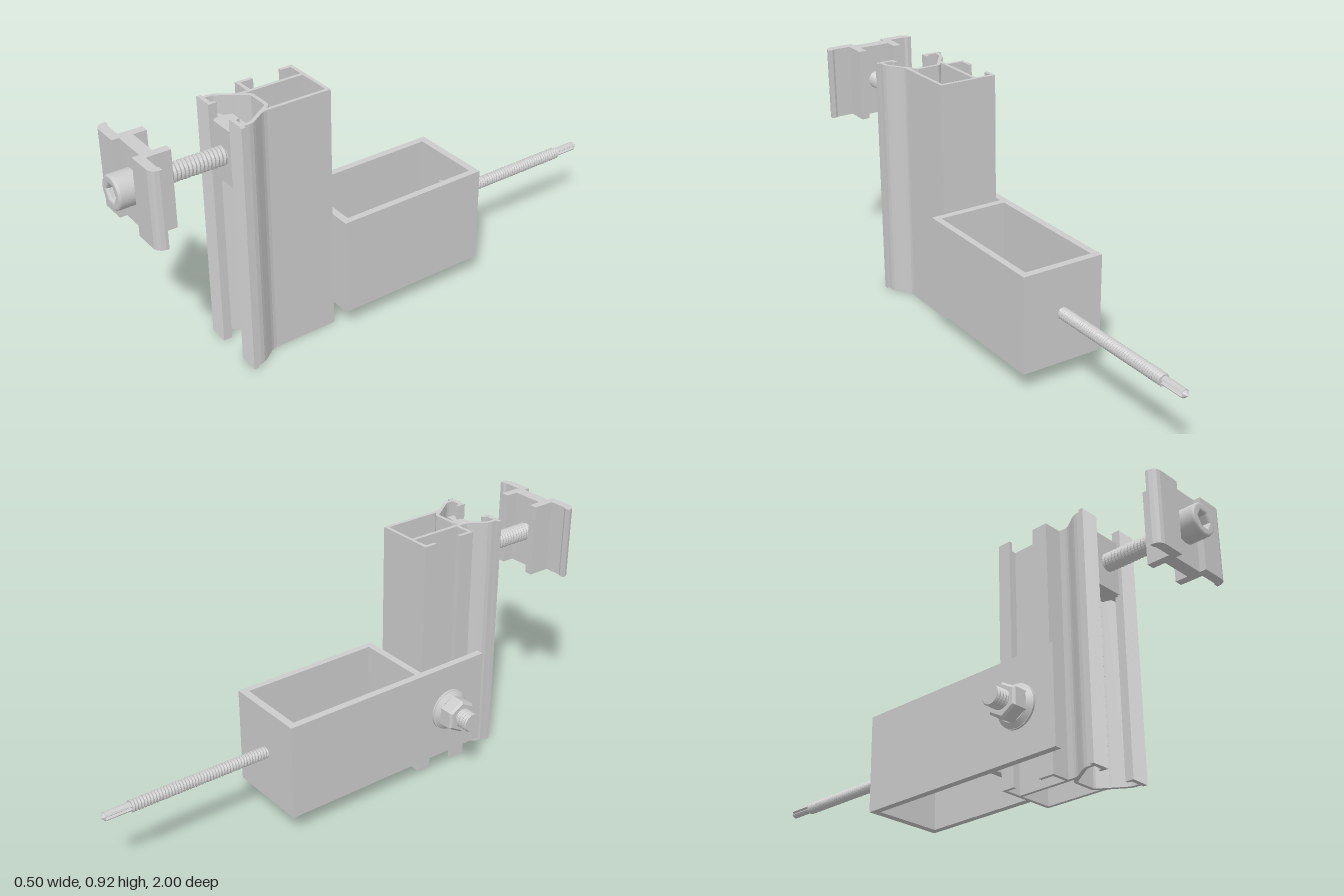
import * as THREE from 'three';

const metal = new THREE.MeshStandardMaterial({ color: 0xcccccc });
const faceted = new THREE.MeshStandardMaterial({ color: 0xcccccc, flatShading: true });

function add(parent, name, geo, mat = metal) {
  const m = new THREE.Mesh(geo, mat);
  m.name = name;
  parent.add(m);
  return m;
}

// Profile given as [x, z] points, extruded upwards from y0 to y1
const toPts = pts => pts.map(([x, z]) => new THREE.Vector2(x, -z));
function extrudeUp(pts, y0, y1, hole) {
  const shape = new THREE.Shape(toPts(pts));
  if (hole) shape.holes.push(new THREE.Path(toPts(hole)));
  const g = new THREE.ExtrudeGeometry(shape, { depth: y1 - y0, bevelEnabled: false });
  return g.rotateX(-Math.PI / 2).translate(0, y0, 0);
}

// Sheet of constant thickness along an open centre line, with mitred corners
function strip(line, t) {
  const p = line.map(a => new THREE.Vector2(...a));
  const a = [], b = [];
  p.forEach((q, i) => {
    const i0 = Math.max(i, 1), i1 = Math.min(i, p.length - 2);
    const d0 = p[i0].clone().sub(p[i0 - 1]).normalize();
    const d1 = p[i1 + 1].clone().sub(p[i1]).normalize();
    const n0 = new THREE.Vector2(-d0.y, d0.x), n1 = new THREE.Vector2(-d1.y, d1.x);
    const n = n0.clone().add(n1).normalize();
    n.multiplyScalar(t / 2 / n.dot(n0));
    a.push([q.x + n.x, q.y + n.y]);
    b.unshift([q.x - n.x, q.y - n.y]);
  });
  return a.concat(b);
}

// Rods run along +z ('z') or along -x ('x') from a start point
function aim(g, axis, len, [x, y, z]) {
  g.translate(0, len / 2, 0);
  if (axis === 'z') g.rotateX(Math.PI / 2); else g.rotateZ(Math.PI / 2);
  return g.translate(x, y, z);
}
function rod(axis, r0, r1, len, at, sides = 40, start = 0) {
  return aim(new THREE.CylinderGeometry(r1, r0, len, sides, 1, false, start), axis, len, at);
}

// Threaded rod: cylinder whose radius follows a helical triangle wave
function thread(axis, r, depth, pitch, len, at) {
  const g = new THREE.CylinderGeometry(r, r, len, 24, Math.round(len / pitch * 6));
  const p = g.attributes.position;
  for (let i = 0; i < p.count; i++) {
    const x = p.getX(i), y = p.getY(i), z = p.getZ(i);
    if (Math.hypot(x, z) < r * 0.5) continue;
    const turn = y / pitch + Math.atan2(x, z) / (2 * Math.PI);
    const k = 1 - depth / r * Math.abs(2 * (turn - Math.floor(turn)) - 1);
    p.setXYZ(i, x * k, y, z * k);
  }
  return aim(g, axis, len, at);
}

// Points around a circle, with a radius chosen per point
const ring = (n, radius) => Array.from({ length: n }, (_, i) => {
  const a = i * 2 * Math.PI / n;
  return new THREE.Vector2(Math.cos(a), Math.sin(a)).multiplyScalar(radius(i));
});

export function createModel() {
  const root = new THREE.Group();
  root.name = 'railBracketAssembly';
  const group = name => {
    const g = new THREE.Group();
    g.name = name;
    root.add(g);
    return g;
  };

  // Rectangular bracket tube with one wall continued as an arm
  add(root, 'bracket', extrudeUp(
    [[-0.12, -0.355], [0.2, -0.355], [0.2, 0.235], [-0.093, 0.235], [-0.093, 0.51], [-0.12, 0.51]], 0.07, 0.435,
    [[-0.093, -0.327], [-0.093, 0.208], [0.175, 0.208], [0.175, -0.327]]));

  // Upright rail: hollow box, flared front channel and side channel
  const rail = group('rail');
  const H = 0.918, cx = 0.066, t = 0.013;
  add(rail, 'railBack', extrudeUp([[-0.083, 0.247], [0.142, 0.247], [0.142, 0.26], [-0.083, 0.26]], 0, H));
  add(rail, 'railWeb', extrudeUp(strip(
    [[cx - 0.075, 0.512], [cx - 0.05, 0.474], [cx - 0.04, 0.468],
      [cx + 0.04, 0.468], [cx + 0.05, 0.474], [cx + 0.075, 0.512]], t), 0, H));
  for (const s of [-1, 1]) {
    const X = d => cx + s * d;
    const wall = [[0.0705, 0.255], [0.0705, 0.49], [0.073, 0.504], [0.08, 0.518], [0.107, 0.556],
      [0.114, 0.568], [0.117, 0.582], [0.117, 0.606]];
    add(rail, 'railWall', extrudeUp(strip(wall.map(([d, z]) => [X(d), z]), t), 0, H));
    // Foot with a finely serrated front
    const foot = [[X(0.062), 0.585], [X(0.072), 0.585], [X(0.076), 0.6], [X(0.135), 0.6]];
    for (let i = 0; i <= 24; i++) foot.push([X(0.135 - i * 0.073 / 24), i % 2 ? 0.613 : 0.617]);
    add(rail, 'railFoot', extrudeUp(foot, 0, H));
  }
  add(rail, 'sideChannelUpperLip', extrudeUp(strip([[-0.0765, 0.25], [-0.0765, 0.298]], t), 0, H));
  add(rail, 'sideChannelLowerLip', extrudeUp(strip(
    [[-0.005, 0.46], [-0.0765, 0.46], [-0.0765, 0.405]], t), 0, H));

  // End clamp plate with two legs and rounded wings
  const half = [[0, 0.88], [0.06, 0.88], [0.06, 0.833], [0.09, 0.833], [0.09, 0.917], [0.155, 0.917],
    [0.165, 0.912], [0.181, 0.912], [0.181, 0.922], [0.176, 0.936], [0.167, 0.945], [0.155, 0.95],
    [0.064, 0.95], [0.064, 0.925], [0, 0.925]];
  const right = half.map(([x, z]) => [cx + x, z]);
  const left = half.slice(1, -1).reverse().map(([x, z]) => [cx - x, z]);
  add(root, 'clampPlate', extrudeUp(right.concat(left), 0.627, 0.9));

  // Clamp bolt with hexagon socket head
  const bolt = group('clampBolt');
  const by = 0.765;
  add(bolt, 'clampBoltThread', thread('z', 0.034, 0.006, 0.0135, 0.44, [cx, by, 0.488]), faceted);
  add(bolt, 'clampBoltHeadBase', rod('z', 0.058, 0.058, 0.035, [cx, by, 0.925], 48));
  const head = new THREE.Shape().absarc(0, 0, 0.058, 0, Math.PI * 2);
  head.holes.push(new THREE.Path(ring(6, () => 0.03)));
  add(bolt, 'clampBoltHead', new THREE.ExtrudeGeometry(head, {
    depth: 0.032, curveSegments: 48, bevelSize: 0.008, bevelThickness: 0.008, bevelOffset: -0.008, bevelSegments: 3,
  }).translate(cx, by, 0.96));

  // Channel nut held inside the front channel
  add(root, 'channelNut', extrudeUp(
    [[cx - 0.055, 0.535], [cx + 0.055, 0.535], [cx + 0.065, 0.565], [cx + 0.102, 0.57], [cx + 0.102, 0.598],
      [cx + 0.055, 0.598], [cx + 0.055, 0.608], [cx - 0.055, 0.608], [cx - 0.055, 0.598],
      [cx - 0.102, 0.598], [cx - 0.102, 0.57], [cx - 0.065, 0.565]], by - 0.1, by + 0.1));

  // Side bolt: T-head in the side channel, flange nut outside the arm
  const side = group('sideBolt');
  const sy = 0.254, sz = 0.352;
  add(side, 'sideBoltHead', new THREE.BoxGeometry(0.036, 0.085, 0.19).translate(-0.05, sy, sz));
  add(side, 'sideBoltThread', thread('x', 0.037, 0.006, 0.0135, 0.2, [-0.05, sy, sz]), faceted);
  add(side, 'nutWasher', rod('x', 0.08, 0.08, 0.008, [-0.12, sy, sz]));
  add(side, 'nutFlange', rod('x', 0.078, 0.06, 0.014, [-0.128, sy, sz]));
  add(side, 'nutHexagon', rod('x', 0.065, 0.065, 0.05, [-0.138, sy, sz], 6, Math.PI / 6), faceted);
  add(side, 'nutChamfer', rod('x', 0.065, 0.056, 0.008, [-0.188, sy, sz], 6, Math.PI / 6), faceted);

  // Self-drilling screw through the back wall of the bracket
  const screw = group('drillScrew');
  const px = 0.042, py = 0.26;
  add(screw, 'screwThread', thread('z', 0.023, 0.005, 0.0115, 0.57, [px, py, -0.89]), faceted);
  add(screw, 'screwWasher', rod('z', 0.066, 0.066, 0.01, [px, py, -0.328]));
  add(screw, 'screwFlange', rod('z', 0.056, 0.046, 0.014, [px, py, -0.318]));
  add(screw, 'screwHexHead', rod('z', 0.041, 0.041, 0.04, [px, py, -0.305], 6, Math.PI / 6), faceted);
  // Drill tip with two flutes
  const fluted = new THREE.Shape(ring(16, i => (i % 8 ? 0.016 : 0.008)));
  add(screw, 'drillShank', new THREE.ExtrudeGeometry(fluted, { depth: 0.1, bevelEnabled: false })
    .translate(px, py, -0.985));
  add(screw, 'drillPoint', rod('z', 0.001, 0.014, 0.015, [px, py, -1], 12), faceted);

  return root;
}
